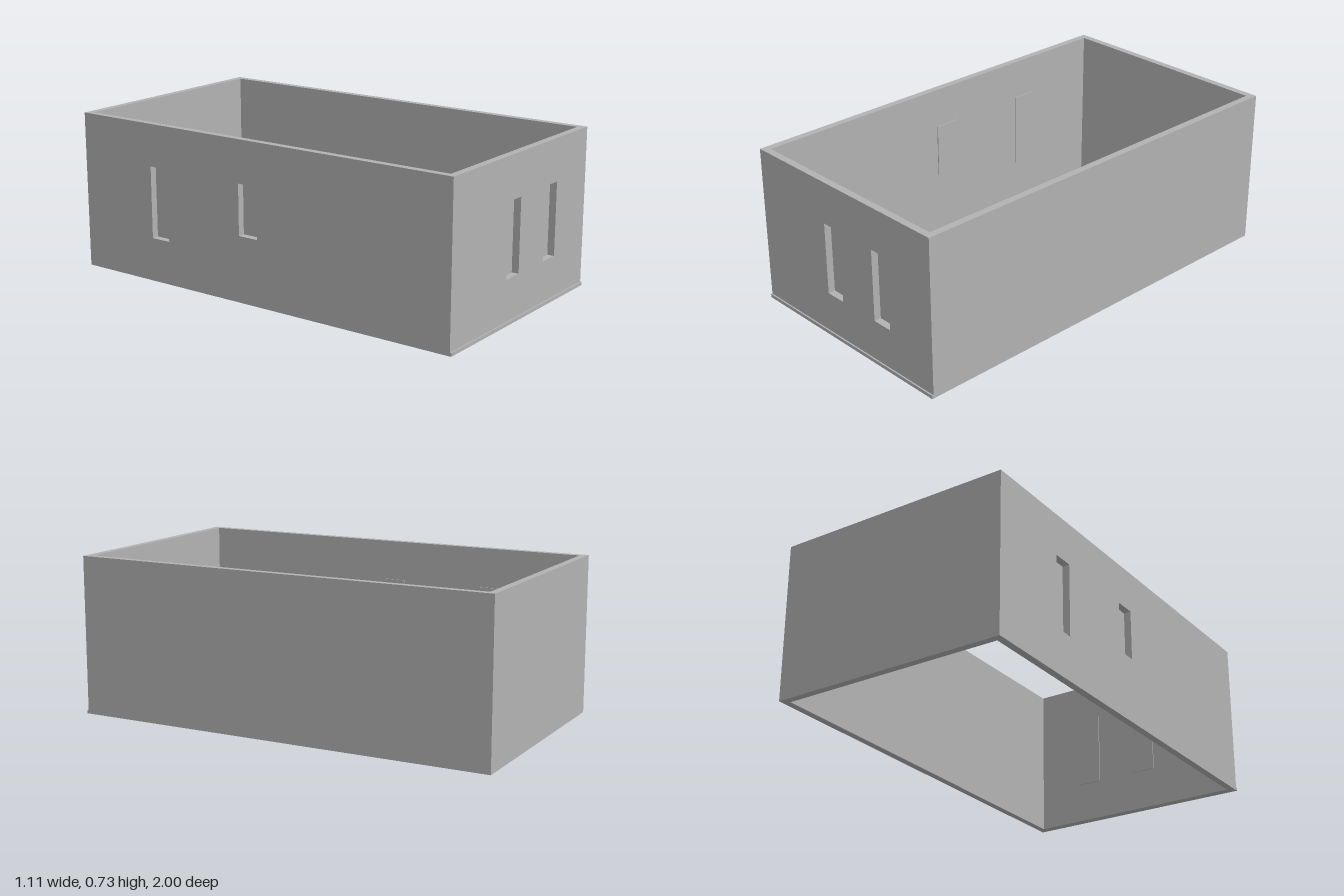
import * as THREE from 'three';

const HEIGHT = 0.733, T = 0.033, X = 0.553, BACK = -1, FRONT = 0.993;
const PLATE = 0.005, LAP = 0.01;

function rect(Type, u0, u1, y0, y1) {
  return new Type([
    new THREE.Vector2(u0, y0), new THREE.Vector2(u1, y0),
    new THREE.Vector2(u1, y1), new THREE.Vector2(u0, y1),
  ]);
}

// Wall in its own frame: u runs along it, +z points outwards.
// Each niche [u0, u1, y0, y1] is a hole closed by a thin plate on the inner side.
function makeWall(name, material, u0, u1, niches = []) {
  const wall = new THREE.Group();
  wall.name = name;
  const shape = rect(THREE.Shape, u0, u1, 0, HEIGHT);
  for (const n of niches) shape.holes.push(rect(THREE.Path, ...n));
  const panel = new THREE.Mesh(
    new THREE.ExtrudeGeometry(shape, { depth: T, bevelEnabled: false }), material);
  panel.name = name + 'Panel';
  wall.add(panel);
  for (const [a, b, c, d] of niches) {
    const plate = new THREE.Mesh(
      new THREE.BoxGeometry(b - a + 2 * LAP, d - c + 2 * LAP, PLATE), material);
    plate.name = 'windowPlate';
    plate.position.set((a + b) / 2, (c + d) / 2, -PLATE / 2);
    wall.add(plate);
  }
  return wall;
}

export function createModel() {
  const model = new THREE.Group();
  model.name = 'walledEnclosure';
  const grey = new THREE.MeshStandardMaterial({ color: 0xb2b2b2 });
  grey.name = 'wallGrey';

  // Front wall with two tall windows
  const front = makeWall('frontWall', grey, -X, X,
    [[-0.12, -0.02, 0.203, 0.538], [0.19, 0.29, 0.203, 0.538]]);
  front.position.z = FRONT - T;

  // Plain back wall
  const back = makeWall('backWall', grey, -X, X);
  back.rotation.y = Math.PI;
  back.position.z = BACK + T;

  // Side wall at -x with a tall and a short window
  const windowSide = makeWall('windowSideWall', grey, BACK + T, FRONT - T,
    [[-0.595, -0.495, 0.203, 0.538], [-0.085, 0.015, 0.304, 0.538]]);
  windowSide.rotation.y = -Math.PI / 2;
  windowSide.position.x = -X + T;

  // Plain side wall at +x
  const plainSide = makeWall('plainSideWall', grey, -FRONT + T, -BACK - T);
  plainSide.rotation.y = Math.PI / 2;
  plainSide.position.x = X - T;

  // Low strip along the foot of the front wall
  const strip = new THREE.Mesh(new THREE.BoxGeometry(2 * X, 0.016, 1 - FRONT), grey);
  strip.name = 'frontFootStrip';
  strip.position.set(0, 0.008, (1 + FRONT) / 2);

  model.add(front, back, windowSide, plainSide, strip);
  return model;
}
